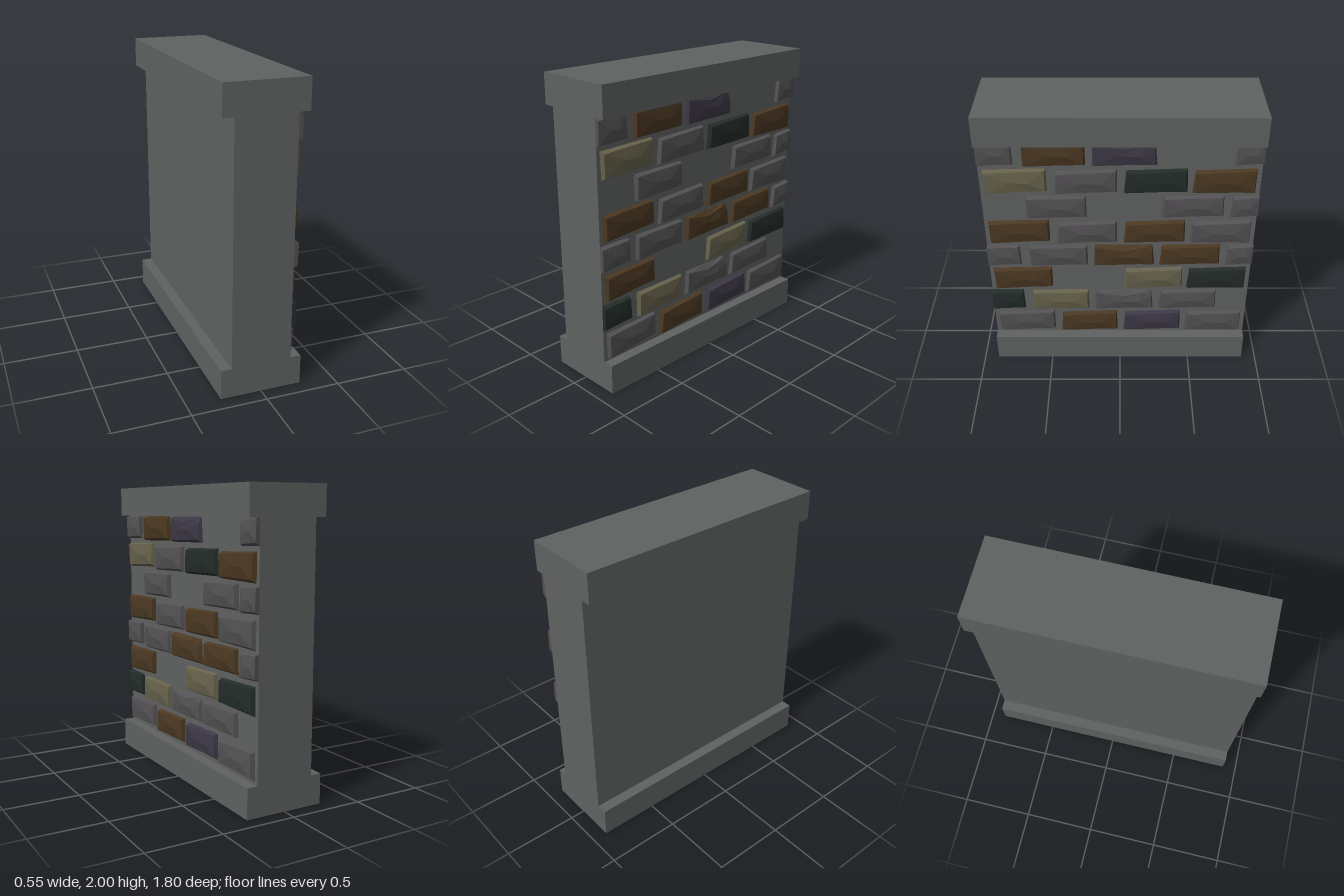
import * as THREE from 'three';

const FACE = 0.2;   // x of the wall face that carries the bricks
const END = 0.9;    // half length of the wall

const colors = {
  g: 0x535153, b: 0x4b3822, c: 0x67624c, p: 0x3d3846, d: 0x232c2a,
};

// Brick outlines: corners [z, y] in order bottom-left, bottom-right, top-right, top-left
const straight = [
  { q: [[0.87, 0.015], [0.47, 0.035], [0.47, 0.205], [0.875, 0.195]] },
  { q: [[0.425, 0.015], [0.02, 0.027], [0.02, 0.2], [0.41, 0.185]] },
  { q: [[-0.025, 0.02], [-0.435, 0.03], [-0.43, 0.205], [-0.04, 0.19]] },
  { q: [[-0.465, 0.022], [-0.87, 0.02], [-0.87, 0.205], [-0.48, 0.19]] },
];
const offset = [
  { q: [[0.9, 0.025], [0.675, 0.033], [0.68, 0.198], [0.9, 0.198]], cutLeft: true },
  { q: [[0.615, 0.02], [0.22, 0.03], [0.22, 0.198], [0.615, 0.196]] },
  { q: [[0.178, 0.025], [-0.235, 0.033], [-0.22, 0.2], [0.17, 0.196]], chipped: true },
  { q: [[-0.27, 0.03], [-0.68, 0.04], [-0.675, 0.205], [-0.285, 0.195]] },
  { q: [[-0.72, 0.03], [-0.9, 0.04], [-0.9, 0.205], [-0.735, 0.195]], cutRight: true },
];

// Colour of every brick, bottom row first; a dot is a missing brick
const rows = ['gbpg', 'dcgg.', 'b.cd', 'ggbbg', 'bgbg', '.g.gg', 'cgdb', 'gbp.g'];

// Irregular stone: base ring on the wall, bevelled face ring and a raised ridge
function brickGeometry({ q, chipped, cutLeft, cutRight }) {
  const at = (u, v, x) => {
    const mix = (k) => THREE.MathUtils.lerp(
      THREE.MathUtils.lerp(q[0][k], q[1][k], u),
      THREE.MathUtils.lerp(q[3][k], q[2][k], u), v);
    return new THREE.Vector3(FACE + x, mix(1), mix(0));
  };
  const l = cutLeft ? 0 : 0.025, r = cutRight ? 1 : 0.975;
  const top = chipped
    ? [[r, 0.7, 0.028], [0.85, 0.95, 0.026], [0.5, 0.78, 0.034], [l, 0.95, 0.028]]
    : [[r, 0.95, 0.025], [0.7, 0.95, 0.03], [0.35, 0.94, 0.028], [l, 0.92, 0.03]];
  const face = [[l, 0.07, 0.026], [0.35, 0.09, 0.028], [0.7, 0.1, 0.027], [r, 0.1, 0.03], ...top];
  const us = [0, 0.35, 0.7, 1, 1, chipped ? 0.85 : 0.7, chipped ? 0.5 : 0.35, 0];
  const base = us.map((u, i) => at(u, i < 4 ? 0 : 1, 0));
  const ring = face.map((p) => at(...p));
  const ridge = [at(0.4, 0.52, 0.038), at(0.72, 0.48, 0.04)];

  const pos = [];
  const tri = (...pts) => pts.forEach((p) => pos.push(p.x, p.y, p.z));
  const n = ring.length;
  for (let i = 0; i < n; i++) {
    const j = (i + 1) % n;
    tri(base[i], base[j], ring[j]);
    tri(base[i], ring[j], ring[i]);
    tri(ring[i], ring[j], ridge[i >= 2 && i <= 4 ? 1 : 0]);
  }
  // Close the face between the two ridge points
  tri(ring[2], ridge[1], ridge[0]);
  tri(ring[5], ridge[0], ridge[1]);
  const geo = new THREE.BufferGeometry();
  geo.setAttribute('position', new THREE.Float32BufferAttribute(pos, 3));
  geo.computeVertexNormals();
  return geo;
}

export function createModel() {
  const model = new THREE.Group();
  model.name = 'brickWall';

  // Wall core with wider base and cap, one extruded profile
  const half = [[0.273, 0], [0.273, 0.2], [FACE, 0.2], [FACE, 1.8], [0.273, 1.8], [0.273, 2]];
  const outline = [...half, ...half.map(([x, y]) => [-x, y]).reverse()];
  const wallGeo = new THREE.ExtrudeGeometry(
    new THREE.Shape(outline.map(([x, y]) => new THREE.Vector2(x, y))),
    { depth: 2 * END, bevelEnabled: false });
  wallGeo.translate(0, 0, -END);
  const wall = new THREE.Mesh(wallGeo, new THREE.MeshStandardMaterial({ color: 0x606262 }));
  wall.name = 'wallWithBaseAndCap';
  model.add(wall);

  // Bricks in running bond on one side
  const bricks = new THREE.Group();
  bricks.name = 'bricks';
  const materials = {};
  for (const key in colors) {
    materials[key] = new THREE.MeshStandardMaterial({ color: colors[key], flatShading: true });
  }
  const shapes = [straight, offset].map((set) => set.map(brickGeometry));
  rows.forEach((row, i) => {
    [...row].forEach((key, k) => {
      if (key === '.') return;
      const brick = new THREE.Mesh(shapes[i % 2][k], materials[key]);
      brick.name = `brickRow${i + 1}Column${k + 1}`;
      brick.position.y = 0.2 + i * 0.2;
      bricks.add(brick);
    });
  });
  model.add(bricks);
  return model;
}
